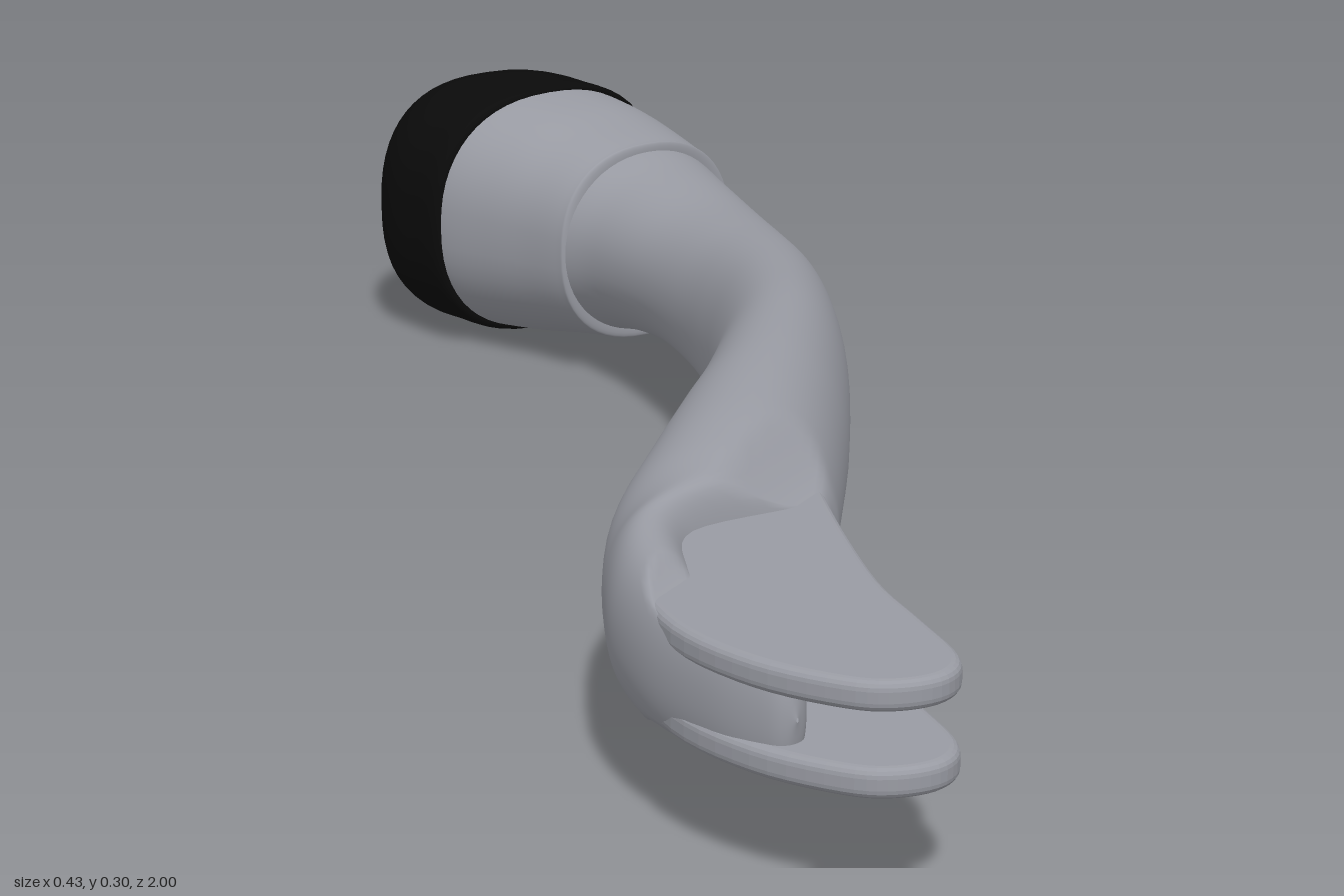
import * as THREE from 'three';
import { RoundedBoxGeometry } from 'three/addons/geometries/RoundedBoxGeometry.js';

const MID_Y = 0.15;

// Smooth scalar interpolation through four neighbouring values
function spline(a, b, c, d, t) {
  return 0.5 * (2 * b + (c - a) * t + (2 * a - 5 * b + 4 * c - d) * t * t + (3 * b - a - 3 * c + d) * t ** 3);
}

// Skin rows of [leftX, leftZ, rightX, rightZ, halfHeight], running from +z to -z
function loft(rows, power, steps, limit) {
  const SIDES = 56, pos = [], index = [];
  const last = rows.length - 1, rings = last * steps;
  for (let i = 0; i <= rings; i++) {
    const k = Math.min(Math.floor(i / steps), last - 1), t = i / steps - k;
    const at = (n) => rows[THREE.MathUtils.clamp(n, 0, last)];
    const r = rows[0].map((_, c) => spline(at(k - 1)[c], at(k)[c], at(k + 1)[c], at(k + 2)[c], t));
    for (let j = 0; j < SIDES; j++) {
      const a = (j / SIDES) * Math.PI * 2;
      const round = (v) => Math.sign(v) * Math.abs(v) ** (2 / power);
      const u = 0.5 + 0.5 * round(Math.cos(a));
      const x = r[0] + (r[2] - r[0]) * u, z = r[1] + (r[3] - r[1]) * u;
      let y = r[4] * round(Math.sin(a));
      if (limit) y = Math.sign(y) * Math.min(Math.abs(y), limit(x, z));
      pos.push(x, MID_Y + y, z);
    }
  }
  for (let i = 0; i < rings; i++) {
    for (let j = 0; j < SIDES; j++) {
      const a = i * SIDES + j, b = i * SIDES + (j + 1) % SIDES;
      index.push(a, a + SIDES, b, b, a + SIDES, b + SIDES);
    }
  }
  const g = new THREE.BufferGeometry();
  g.setAttribute('position', new THREE.Float32BufferAttribute(pos, 3));
  g.setIndex(index);
  g.computeVertexNormals();
  return g;
}

// Scooped flats above and below the forked end, fading out along a diagonal
function scoop(x, z) {
  if (z < 0.15) return 1;
  const d = (x - 0.12) * 0.81 + (z - 0.25) * 0.59;
  return 0.128 - 0.078 * THREE.MathUtils.smoothstep(d, -0.01, 0.11);
}

export function createModel() {
  const group = new THREE.Group();
  const grey = new THREE.MeshStandardMaterial({ color: 0x999ba3 });
  grey.name = 'satin grey';
  const black = new THREE.MeshStandardMaterial({ color: 0x0a0a0a });
  black.name = 'black rubber';
  const add = (name, geometry, material) => {
    const mesh = new THREE.Mesh(geometry, material);
    mesh.name = name;
    group.add(mesh);
    return mesh;
  };

  // Curved grip; its front narrows to the wall that closes one side of the slot
  add('grip', loft([
    [-0.052, 0.935, -0.05, 0.933, 0.002],
    [-0.075, 0.93, -0.04, 0.91, 0.052],
    [-0.115, 0.885, -0.065, 0.86, 0.066],
    [-0.155, 0.80, -0.085, 0.78, 0.071],
    [-0.172, 0.71, -0.09, 0.69, 0.073],
    [-0.168, 0.63, -0.07, 0.59, 0.083],
    [-0.158, 0.56, 0.05, 0.535, 0.097],
    [-0.142, 0.49, 0.074, 0.49, 0.108],
    [-0.105, 0.40, 0.09, 0.42, 0.118],
    [-0.06, 0.29, 0.118, 0.31, 0.124],
    [-0.015, 0.18, 0.145, 0.2, 0.125],
    [0.033, 0.03, 0.178, 0.04, 0.121],
    [0.056, -0.11, 0.2, -0.11, 0.11],
    [0.06, -0.22, 0.212, -0.25, 0.099],
    [0.052, -0.32, 0.212, -0.37, 0.09],
    [0.03, -0.43, 0.205, -0.5, 0.086],
    [-0.005, -0.53, 0.19, -0.62, 0.096],
    [-0.04, -0.585, 0.175, -0.71, 0.109],
    [-0.07, -0.62, 0.155, -0.75, 0.11],
  ], 2.1, 6, scoop), grey);

  // Two flat fork tines with the open slot between them
  const outline = new THREE.Shape(new THREE.SplineCurve([
    [0.06, 0.48], [0.056, 0.6], [0.058, 0.75], [0.073, 0.85], [0.085, 0.94], [0.065, 0.985],
    [0.02, 1.0], [-0.025, 0.985], [-0.09, 0.925], [-0.14, 0.83], [-0.155, 0.7], [-0.145, 0.6],
    [-0.09, 0.48], [0.0, 0.45], [0.06, 0.48],
  ].map((p) => new THREE.Vector2(...p))).getPoints(70));
  for (const [name, y] of [['upperTine', 0.19], ['lowerTine', 0.114]]) {
    const tine = new THREE.ExtrudeGeometry(outline, {
      depth: 0.01, bevelEnabled: true, bevelThickness: 0.009, bevelSize: 0.009, bevelOffset: -0.009, bevelSegments: 4,
    });
    tine.rotateX(Math.PI / 2).translate(0, y + 0.005, 0);
    add(name, tine, grey);
  }

  // Flared collar with a tucked-in front lip
  add('collar', loft([
    [-0.015, -0.58, 0.165, -0.685, 0.095],
    [-0.033, -0.573, 0.182, -0.69, 0.114],
    [-0.042, -0.582, 0.18, -0.70, 0.117],
    [-0.075, -0.625, 0.165, -0.765, 0.126],
    [-0.115, -0.67, 0.147, -0.825, 0.136],
    [-0.16, -0.72, 0.123, -0.885, 0.143],
    [-0.175, -0.75, 0.11, -0.91, 0.143],
  ], 2.35, 5), grey);

  // Grip tongue inlaid into the collar side
  const tongue = add('collarTongue', new RoundedBoxGeometry(0.009, 0.075, 0.15, 3, 0.004), grey);
  tongue.position.set(0.163, MID_Y, -0.752);
  tongue.rotation.y = 0.3;

  // Rounded rubber end cap
  add('endCap', loft([
    [-0.145, -0.73, 0.11, -0.88, 0.135],
    [-0.166, -0.72, 0.126, -0.887, 0.147],
    [-0.19, -0.76, 0.108, -0.92, 0.149],
    [-0.213, -0.81, 0.083, -0.955, 0.15],
    [-0.216, -0.86, 0.054, -0.982, 0.143],
    [-0.19, -0.91, 0.018, -0.998, 0.12],
    [-0.145, -0.947, -0.025, -0.996, 0.075],
    [-0.09, -0.978, -0.088, -0.979, 0.001],
  ], 2.5, 5), black);

  return group;
}
